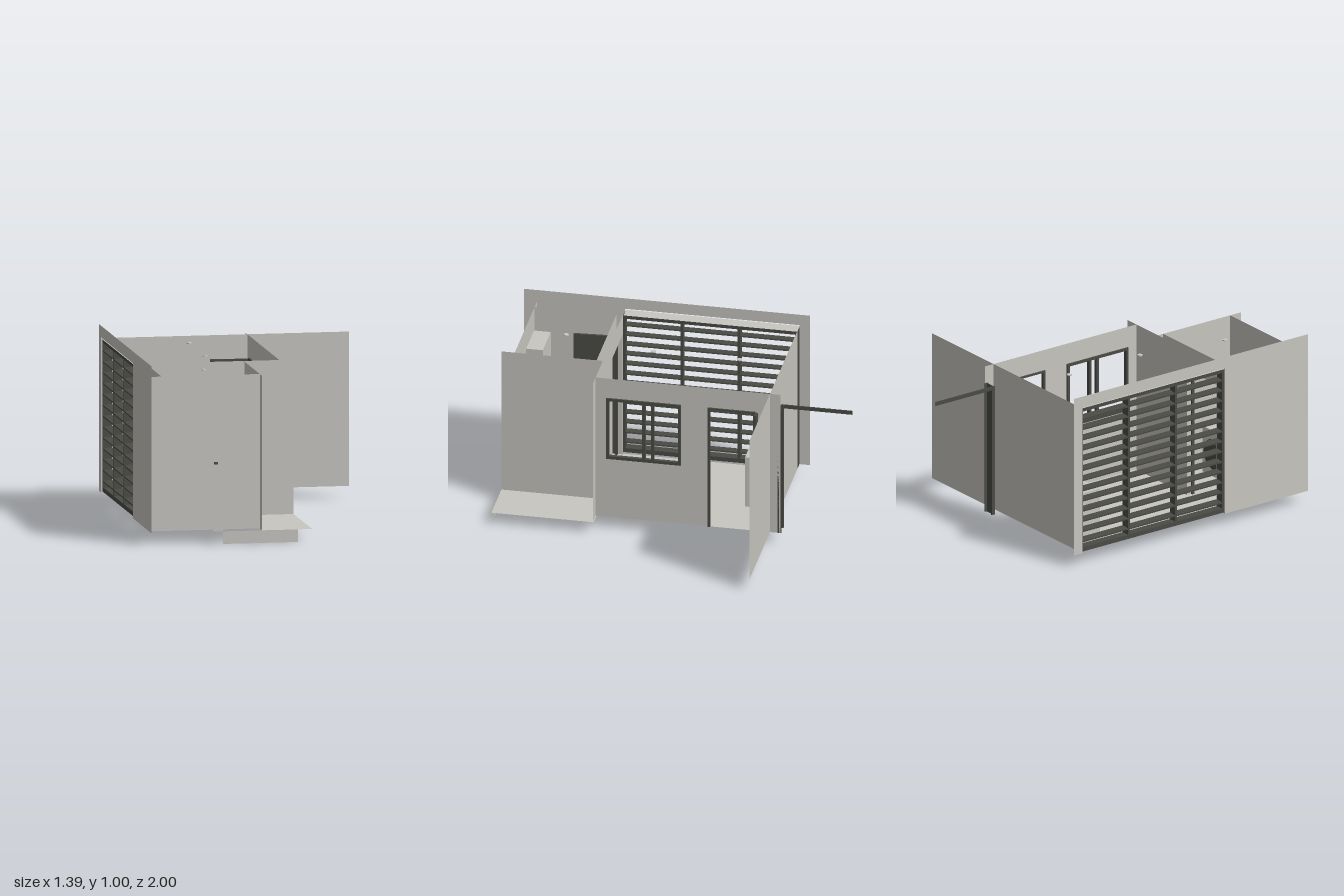
import * as THREE from 'three';

const plaster = new THREE.MeshStandardMaterial({ color: 0xc8c6c0, side: THREE.DoubleSide });
plaster.name = 'light plaster';
const metal = new THREE.MeshStandardMaterial({ color: 0x4a4b45, side: THREE.DoubleSide });
metal.name = 'dark metal';

const FLOOR = 0.07, TOP = 0.93, HEAD = 0.81;

export function createModel() {
  const root = new THREE.Group();
  root.name = 'smallHouse';

  const add = (name, geo, mat, parent = root) => {
    const m = new THREE.Mesh(geo, mat);
    m.name = name;
    parent.add(m);
    return m;
  };
  // Box given by its min and max corners
  const box = (name, x0, x1, y0, y1, z0, z1, mat, parent) => {
    const m = add(name, new THREE.BoxGeometry(x1 - x0, y1 - y0, z1 - z0), mat, parent);
    m.position.set((x0 + x1) / 2, (y0 + y1) / 2, (z0 + z1) / 2);
    return m;
  };
  // Sheet with an outline of [u, y] points and rectangular holes [u0, u1, y0, y1]
  const sheet = (name, pts, holes = []) => {
    const s = new THREE.Shape(pts.map(p => new THREE.Vector2(...p)));
    for (const [a, b, c, d] of holes) {
      s.holes.push(new THREE.Path([[a, c], [a, d], [b, d], [b, c]].map(p => new THREE.Vector2(...p))));
    }
    return add(name, new THREE.ShapeGeometry(s), plaster);
  };
  const rect = (a, b, c = FLOOR, d = TOP) => [[a, c], [b, c], [b, d], [a, d]];
  // Outline with an opening that reaches the floor
  const notched = (a, b, n0, n1, head, top = TOP) =>
    [[a, FLOOR], [n0, FLOOR], [n0, head], [n1, head], [n1, FLOOR], [b, FLOOR], [b, top], [a, top]];
  const wallX = (name, x, pts, holes) => {
    const m = sheet(name, pts, holes);
    m.rotation.y = -Math.PI / 2;
    m.position.x = x;
  };
  const wallZ = (name, z, pts, holes) => { sheet(name, pts, holes).position.z = z; };
  const slab = (name, x0, x1, z0, z1, y = FLOOR) => {
    const m = add(name, new THREE.PlaneGeometry(x1 - x0, z1 - z0), plaster);
    m.rotation.x = -Math.PI / 2;
    m.position.set((x0 + x1) / 2, y, (z0 + z1) / 2);
  };

  // Floors and the cap above the louvres
  slab('roomFloor', -0.63, 0.12, -0.55, 0.425);
  slab('bathroomFloor', -0.63, -0.08, 0.465, 0.925);
  slab('doorThreshold', -0.62, -0.35, 0.425, 0.465);
  slab('patioFloor', -0.08, 0.2, 0.425, 1);
  slab('louvreCap', -0.7, -0.63, -0.55, 0.425, TOP);

  // Walls
  wallX('louvreFacade', -0.7, notched(-0.61, 1, -0.55, 0.43, 0.935, 1));
  wallX('windowWall', 0.12, notched(-0.61, 0.43, -0.47, -0.2, HEAD), [[-0.05, 0.37, 0.435, HEAD]]);
  wallX('patioSideWall', -0.08, rect(0.43, 1));
  wallX('bathroomInnerWall', -0.63, rect(0.465, 0.925));
  wallZ('backWall', -0.55, rect(-0.7, 0.69));
  wallZ('frontWall', 0.925, rect(-0.7, -0.08));
  wallZ('partitionRoomSide', 0.43, notched(-0.7, 0.2, -0.62, -0.35, HEAD));
  wallZ('partitionBathSide', 0.465, notched(-0.63, -0.08, -0.62, -0.35, HEAD));
  for (const x of [-0.62, -0.35]) wallX('doorReveal', x, rect(0.43, 0.465, FLOOR, HEAD));
  wallZ('frontSkirt', 1, rect(-0.3, 0.12, 0, FLOOR));
  wallZ('frontSkirtTab', 1, rect(-0.355, -0.3, FLOOR, 0.105));

  // Louvred screen: three framed bays of slats
  const louvres = new THREE.Group();
  louvres.name = 'louvreScreen';
  root.add(louvres);
  const z0 = -0.545, bay = 0.323;
  box('louvreSill', -0.69, -0.64, 0.075, 0.1, z0, z0 + 3 * bay, metal, louvres);
  box('louvreHead', -0.69, -0.64, 0.905, 0.925, z0, z0 + 3 * bay, metal, louvres);
  for (let b = 0; b <= 3; b++) {
    const z = z0 + b * bay;
    box('louvrePost', -0.69, -0.64, 0.075, 0.925, z - 0.007, z + 0.007, metal, louvres);
  }
  for (let y = 0.135; y < 0.9; y += 0.0605) {
    const s = box('louvreSlat', -0.69, -0.64, y - 0.004, y + 0.004, z0, z0 + 3 * bay, metal, louvres);
    s.rotation.z = 0.08;
  }

  // Sliding window: outer frame and overlapping sashes
  const win = new THREE.Group();
  win.name = 'slidingWindow';
  root.add(win);
  const bar = (y0, y1, a, b) => box('windowBar', 0.11, 0.13, y0, y1, a, b, metal, win);
  bar(0.435, 0.453, -0.05, 0.37);
  bar(0.795, HEAD, -0.05, 0.37);
  for (const z of [-0.05, 0.1, 0.15, 0.354]) bar(0.435, HEAD, z, z + 0.016);

  // Door frames
  for (const z of [-0.47, -0.214]) box('entryJamb', 0.11, 0.13, FLOOR, HEAD, z, z + 0.014, metal);
  box('entryHead', 0.11, 0.13, 0.8, HEAD, -0.47, -0.2, metal);
  for (const x of [-0.62, -0.362]) box('bathroomJamb', x, x + 0.012, FLOOR, HEAD, 0.455, 0.472, metal);
  box('bathroomHead', -0.62, -0.35, 0.8, HEAD, 0.455, 0.472, metal);

  // Open door leaves, with a lever handle on each face
  const door = (name, width, x, z, angle, handleU) => {
    const g = new THREE.Group();
    g.name = name;
    g.position.set(x, 0, z);
    g.rotation.y = angle;
    root.add(g);
    box('doorLeaf', 0, width, FLOOR + 0.005, 0.805, -0.006, 0.006, metal, g);
    for (const s of [-1, 1]) {
      const a = s * 0.006, b = s * 0.028, c = s * 0.023;
      box('handleStem', handleU, handleU + 0.006, 0.41, 0.418, Math.min(a, b), Math.max(a, b), metal, g);
      box('handleLever', handleU - 0.04, handleU, 0.41, 0.418, Math.min(b, c), Math.max(b, c), metal, g);
    }
  };
  door('entryDoor', 0.26, 0.16, -0.473, Math.PI - 0.06, 0.235);
  door('bathroomDoor', 0.23, -0.615, 0.47, -Math.PI / 2 + 0.06, 0.205);

  // Post and projecting rail behind the house
  box('rearPostWeb', 0.05, 0.12, FLOOR, 0.83, -0.603, -0.597, metal);
  for (const x of [0.05, 0.112]) box('rearPostFlange', x, x + 0.008, FLOOR, 0.83, -0.614, -0.592, metal);
  box('rearRail', 0.047, 0.053, 0.812, 0.834, -1, -0.6, metal);

  // Kitchen counter and tap
  box('kitchenCounter', -0.6, -0.15, FLOOR, 0.375, -0.548, -0.355, plaster);
  box('tapStem', -0.389, -0.381, 0.375, 0.42, -0.54, -0.532, metal);
  box('tapSpout', -0.388, -0.382, 0.415, 0.421, -0.54, -0.47, metal);
  box('tapLever', -0.41, -0.375, 0.421, 0.425, -0.54, -0.534, metal);

  // Bathroom fittings
  box('wallCabinet', -0.6, -0.38, 0.62, 0.8, 0.828, 0.922, plaster);
  box('washer', -0.325, -0.12, FLOOR, 0.34, 0.705, 0.918, plaster);
  const hatch = add('washerHatch', new THREE.CylinderGeometry(0.075, 0.09, 0.009, 24), metal);
  hatch.rotation.x = -Math.PI / 2;
  hatch.position.set(-0.222, 0.2, 0.7);

  // Ceiling lamps
  for (const [x, z] of [[-0.25, -0.305], [-0.25, 0.18], [-0.35, 0.69]]) {
    add('ceilingLamp', new THREE.CylinderGeometry(0.014, 0.014, 0.006, 20), plaster).position.set(x, 0.927, z);
  }
  // Vent outlet on the front wall
  box('frontVent', -0.336, -0.315, 0.433, 0.447, 0.915, 0.932, metal);

  return root;
}
